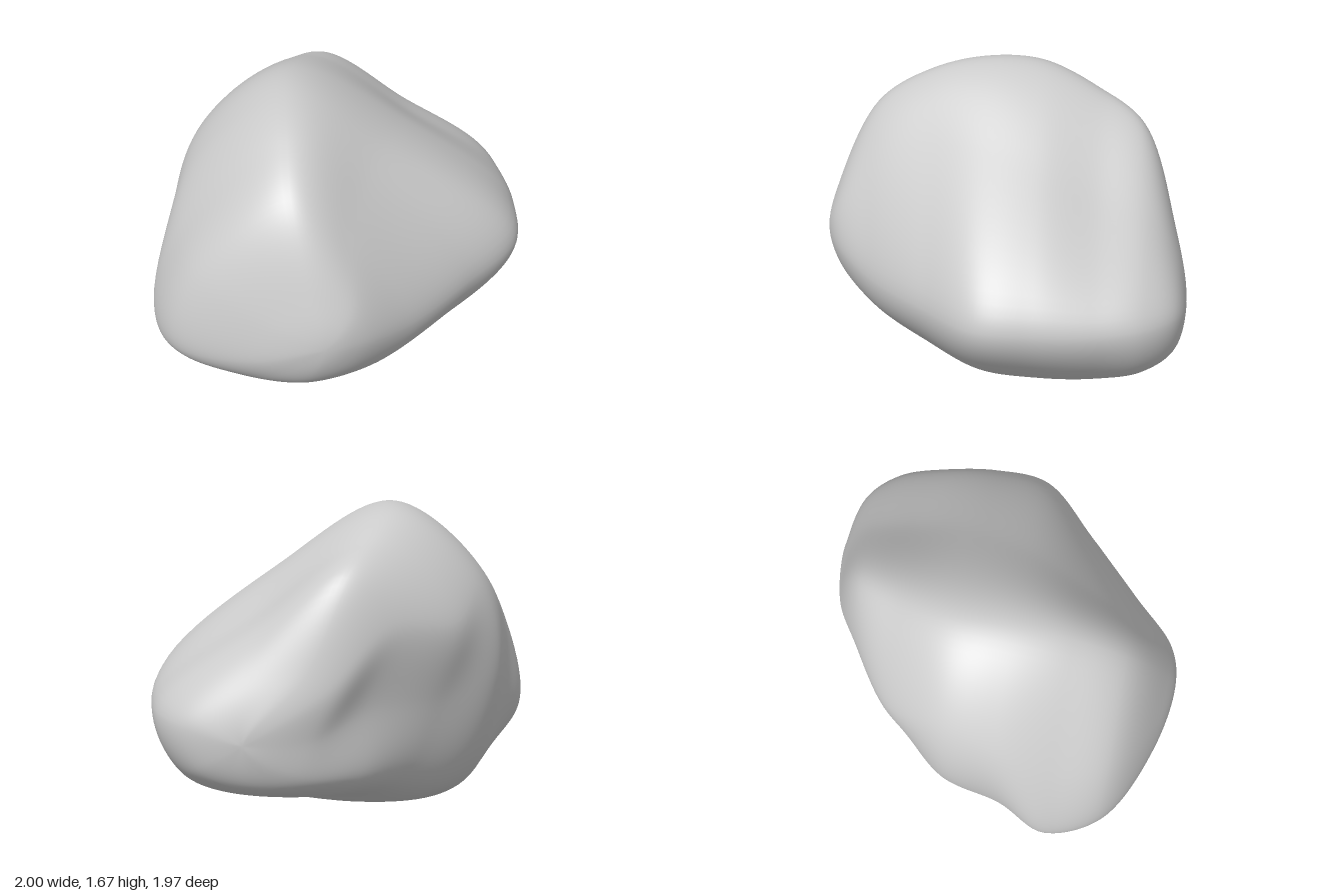
import * as THREE from 'three';
import { mergeVertices } from 'three/addons/utils/BufferGeometryUtils.js';

// Cross-sections from front to back. Each has eight x, y points, clockwise:
// crest, right slope, right, right underside, bottom, left underside, left, left slope.
const SECTIONS = [
  { z: 0.92, p: [-0.15, 0.97, 0.03, 0.89, 0.09, 0.71, 0, 0.55, -0.17, 0.47, -0.34, 0.5, -0.46, 0.6, -0.37, 0.83] },
  { z: 0.7, p: [-0.25, 1.41, 0.05, 1.19, 0.36, 0.65, 0.2, 0.39, -0.2, 0.26, -0.62, 0.34, -0.87, 0.51, -0.73, 1.0] },
  { z: 0.4, p: [-0.27, 1.6, 0.14, 1.33, 0.68, 0.67, 0.42, 0.31, -0.2, 0.08, -0.74, 0.2, -0.995, 0.47, -0.83, 1.07] },
  { z: 0.1, p: [-0.28, 1.67, 0.27, 1.37, 0.965, 0.7, 0.6, 0.25, -0.2, 0.005, -0.7, 0.12, -0.9, 0.74, -0.8, 1.24] },
  { z: -0.2, p: [-0.27, 1.655, 0.36, 1.31, 0.995, 0.7, 0.68, 0.26, -0.12, 0.06, -0.6, 0.17, -0.84, 0.78, -0.73, 1.31] },
  { z: -0.5, p: [-0.19, 1.54, 0.4, 1.17, 0.96, 0.69, 0.72, 0.29, 0.18, 0.2, -0.32, 0.26, -0.53, 0.7, -0.62, 1.13] },
  { z: -0.75, p: [-0.07, 1.39, 0.38, 1.1, 0.88, 0.69, 0.76, 0.37, 0.36, 0.26, -0.12, 0.35, -0.17, 0.72, -0.28, 1.13] },
  { z: -0.92, p: [0.14, 0.92, 0.42, 0.86, 0.72, 0.67, 0.66, 0.45, 0.42, 0.36, 0.17, 0.41, 0.1, 0.6, 0.04, 0.83] },
];
const FRONT_TIP = new THREE.Vector3(-0.1, 0.72, 0.98);
const BACK_TIP = new THREE.Vector3(0.43, 0.59, -0.985);
const ROWS = 90;
const COLS = 112;

function sectionPoint(section, k) {
  return new THREE.Vector3(section.p[2 * k], section.p[2 * k + 1], section.z);
}

function createRockGeometry() {
  // Closed lengthwise curves: back along one side, forward along the opposite one
  const meridians = [0, 1, 2, 3].map((k) => new THREE.CatmullRomCurve3([
    FRONT_TIP,
    ...SECTIONS.map((s) => sectionPoint(s, k)),
    BACK_TIP,
    ...SECTIONS.map((s) => sectionPoint(s, k + 4)).reverse(),
  ], true));

  // Smooth closed ring at each step along the length
  const positions = [];
  for (let i = 0; i <= ROWS; i++) {
    const t = i / (2 * ROWS);
    const isTip = i === 0 || i === ROWS;
    const ring = new THREE.CatmullRomCurve3([
      ...meridians.map((m) => m.getPoint(t)),
      ...meridians.map((m) => m.getPoint((1 - t) % 1)),
    ], true);
    for (let j = 0; j < COLS; j++) {
      const point = isTip ? (i === 0 ? FRONT_TIP : BACK_TIP) : ring.getPoint(j / COLS);
      positions.push(point.x, point.y, point.z);
    }
  }

  // Skin between rings, with single triangles at the two tips
  const index = [];
  for (let i = 0; i < ROWS; i++) {
    for (let j = 0; j < COLS; j++) {
      const a = i * COLS + j;
      const b = i * COLS + (j + 1) % COLS;
      const c = a + COLS;
      const d = b + COLS;
      if (i < ROWS - 1) index.push(b, d, c);
      if (i > 0) index.push(a, b, c);
    }
  }

  let geometry = new THREE.BufferGeometry();
  geometry.setAttribute('position', new THREE.Float32BufferAttribute(positions, 3));
  geometry.setIndex(index);
  geometry = mergeVertices(geometry, 1e-5);

  // Centre it and stand it on the ground
  geometry.computeBoundingBox();
  const box = geometry.boundingBox;
  const center = box.getCenter(new THREE.Vector3());
  geometry.translate(-center.x, -box.min.y, -center.z);
  geometry.computeVertexNormals();
  return geometry;
}

export function createModel() {
  const model = new THREE.Group();
  model.name = 'boulder';
  const rock = new THREE.Mesh(
    createRockGeometry(),
    new THREE.MeshStandardMaterial({ color: 0xcccccc }),
  );
  rock.name = 'rock';
  model.add(rock);
  return model;
}
